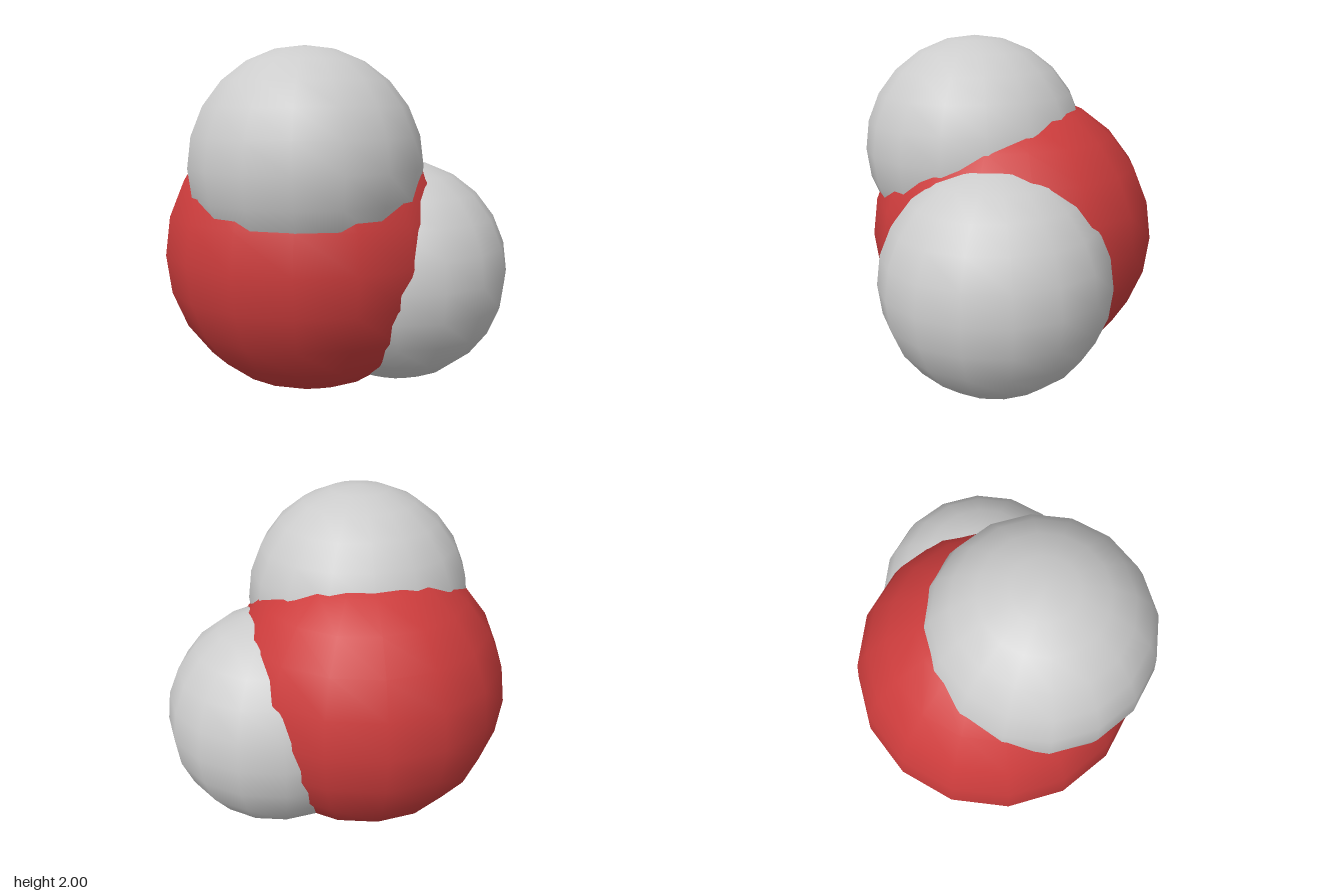
import * as THREE from 'three';

export function createModel() {
  const group = new THREE.Group();
  const red = new THREE.MeshStandardMaterial({ color: 0xcc3c3c });
  red.name = 'red';
  const grey = new THREE.MeshStandardMaterial({ color: 0xcccccc });
  grey.name = 'light grey';

  // Each atom is a smooth sphere with 16 meridians and 12 bands
  function addAtom(name, radius, material, x, y, z) {
    const atom = new THREE.Mesh(new THREE.SphereGeometry(radius, 16, 12), material);
    atom.name = name;
    atom.position.set(x, y, z);
    group.add(atom);
  }

  // Large central atom with two smaller ones sunk into it
  addAtom('centralAtom', 0.84, red, -0.08, 0.842, 0.105);
  addAtom('upperAtom', 0.655, grey, 0.08, 1.345, 0.26);
  addAtom('rearAtom', 0.655, grey, 0.26, 0.708, -0.29);

  return group;
}
